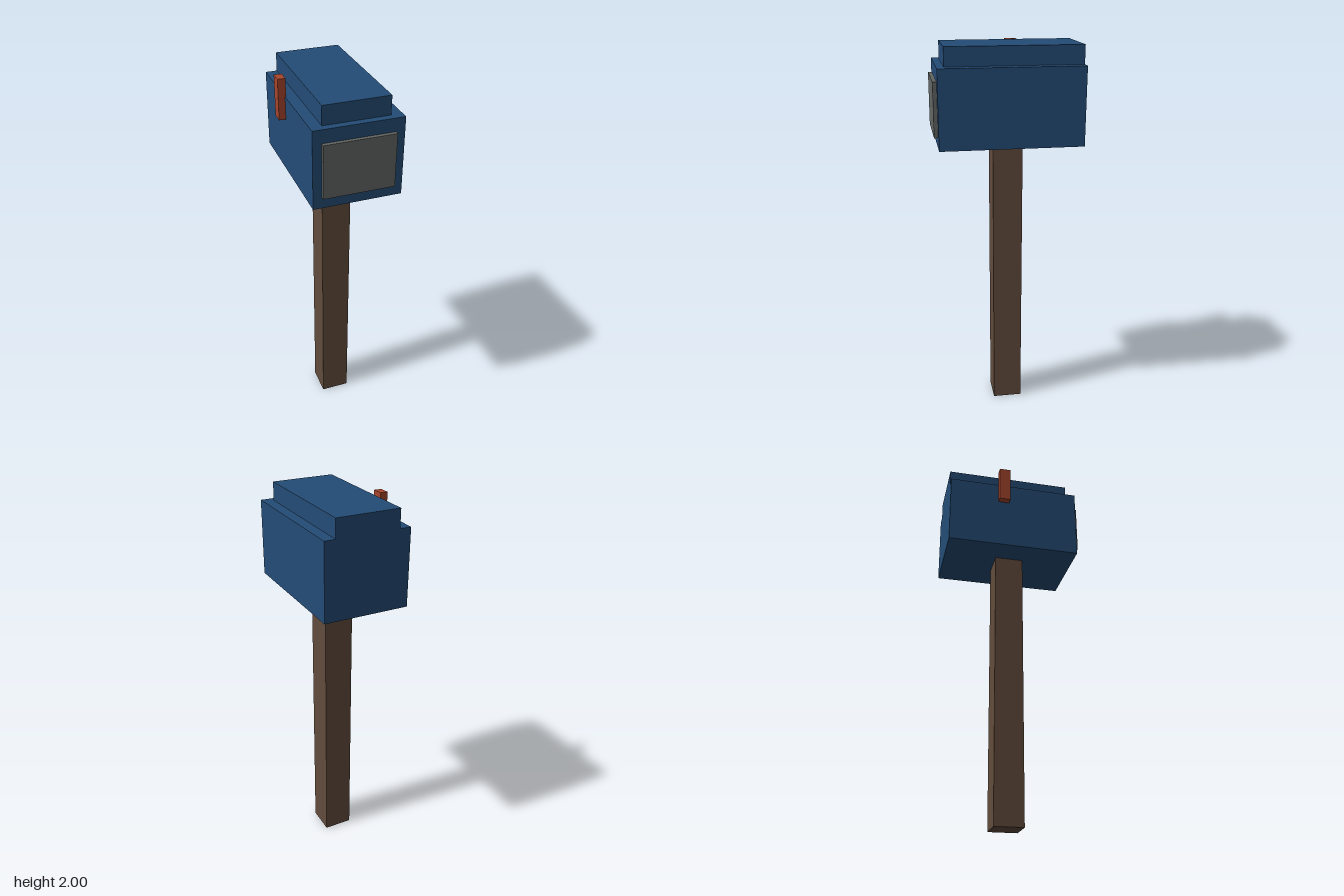
import * as THREE from 'three';

const material = (name, color) => {
  const m = new THREE.MeshStandardMaterial({ color });
  m.name = name;
  return m;
};

export function createModel() {
  const group = new THREE.Group();
  group.name = 'mailbox';

  const blue = material('blue paint', 0x244c76);
  const brown = material('brown wood', 0x624c3d);
  const grey = material('grey metal', 0x626764);
  const red = material('red paint', 0xa8462d);

  // Box spanning the given ranges on each axis
  const box = (name, mat, [x0, x1], [y0, y1], [z0, z1]) => {
    const mesh = new THREE.Mesh(new THREE.BoxGeometry(x1 - x0, y1 - y0, z1 - z0), mat);
    mesh.position.set((x0 + x1) / 2, (y0 + y1) / 2, (z0 + z1) / 2);
    mesh.name = name;
    group.add(mesh);
  };

  box('post', brown, [-0.062, 0.092], [0, 1.508], [-0.086, 0.069]);
  box('body', blue, [-0.206, 0.239], [1.508, 1.905], [-0.375, 0.353]);
  box('roof', blue, [-0.148, 0.183], [1.905, 2], [-0.375, 0.316]);
  box('door', grey, [-0.162, 0.194], [1.566, 1.838], [0.353, 0.373]);
  // Signal flag on the right side, sunk slightly into the body
  box('flag', red, [-0.24, -0.201], [1.79, 1.996], [-0.101, -0.04]);

  return group;
}
